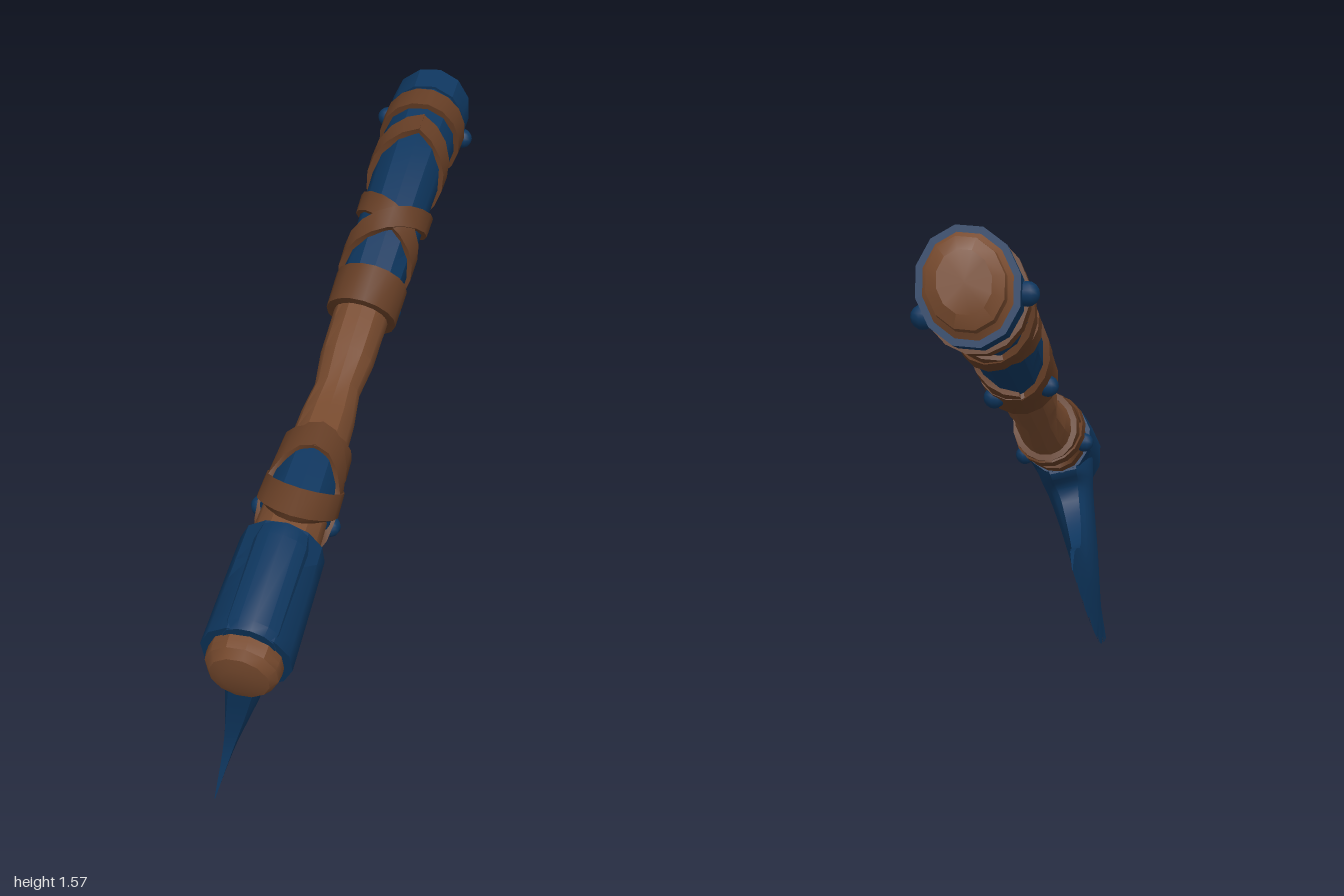
import * as THREE from 'three';
import { toCreasedNormals } from 'three/addons/utils/BufferGeometryUtils.js';

const V = (x, y, z) => new THREE.Vector3(x, y, z);

// The axe lies in one leaning plane: local x is the offset from it, y and z run along it.
const lean = new THREE.Matrix4()
  .makeBasis(V(1, -0.228, 0.039).normalize(), V(0.228, 1, 0), V(-0.039, 0, 1))
  .setPosition(-0.23, 0, 0);

// Handle stations: z, y, half width, half height
const stations = [
  [0.93, 0.63, 0.1, 0.115], [0.6, 0.765, 0.093, 0.1], [0.3, 0.855, 0.083, 0.093],
  [0.17, 0.9, 0.078, 0.085], [0, 1.0, 0.078, 0.085], [-0.2, 1.125, 0.082, 0.088],
  [-0.4, 1.245, 0.088, 0.1], [-0.6, 1.345, 0.095, 0.108], [-0.78, 1.39, 0.105, 0.118],
  [-0.93, 1.43, 0.108, 0.125],
];
const axis = new THREE.CatmullRomCurve3(stations.map(([z, y]) => V(0, y, z)));
const radii = new THREE.CatmullRomCurve3(stations.map(([, , a, b]) => V(a, b, 0)));

// Centre, tangent, up direction and radii of the handle at a given z
function frame(z) {
  let lo = 0, hi = 1;
  for (let i = 0; i < 24; i++) {
    const m = (lo + hi) / 2;
    if (axis.getPoint(m).z > z) lo = m; else hi = m;
  }
  const tan = axis.getTangent(lo), r = radii.getPoint(lo);
  return { c: axis.getPoint(lo), tan, up: V(0, -tan.z, tan.y), a: r.x, b: r.y };
}

// Point on the handle skin, grown outward, scaled and slid along the axis
function skin(z, th, grow = 0, scale = 1, slide = 0) {
  const f = frame(z);
  const p = f.c.clone().addScaledVector(f.up, Math.sin(th) * (f.b + grow) * scale);
  p.x += Math.cos(th) * (f.a + grow) * scale;
  return p.addScaledVector(f.tan, slide);
}

// Join equal-length loops into a solid, with fan caps at the ends
function loft(rings, caps = true, crease = 0.5) {
  const n = rings[0].length, pts = rings.flat(), idx = [];
  for (let r = 0; r < rings.length - 1; r++) {
    for (let i = 0; i < n; i++) {
      const a = r * n + i, b = r * n + (i + 1) % n;
      idx.push(a, b, a + n, b, b + n, a + n);
    }
  }
  if (caps) {
    [0, rings.length - 1].forEach((r, end) => {
      const mid = rings[r].reduce((s, p) => s.add(p), V(0, 0, 0)).divideScalar(n);
      const c = pts.push(mid) - 1;
      for (let i = 0; i < n; i++) {
        const a = r * n + i, b = r * n + (i + 1) % n;
        if (end) idx.push(c, a, b); else idx.push(c, b, a);
      }
    });
  }
  // Turn all faces outward
  let vol = 0;
  for (let i = 0; i < idx.length; i += 3) {
    vol += pts[idx[i]].dot(pts[idx[i + 1]].clone().cross(pts[idx[i + 2]]));
  }
  if (vol < 0) idx.reverse();
  const g = new THREE.BufferGeometry().setFromPoints(pts);
  g.setIndex(idx);
  g.applyMatrix4(lean);
  return toCreasedNormals(g, crease);
}

const SIDES = 12;
const loop = (fn) => Array.from({ length: SIDES }, (_, i) => fn((i / SIDES) * Math.PI * 2));

// Sleeve following the handle between two z positions
function sleeve(z0, z1, grow, steps = 6) {
  const rings = [];
  for (let i = 0; i <= steps; i++) {
    const z = z0 + ((z1 - z0) * i) / steps;
    rings.push(loop((t) => skin(z, t, grow)));
  }
  return rings;
}

// Flat leather band wound from angle t0 to t1; zOf gives its centre along the handle
function strap(zOf, t0, t1, width, inner, outer) {
  const rings = [], steps = Math.ceil(Math.abs(t1 - t0) / 0.4);
  for (let i = 0; i <= steps; i++) {
    const k = i / steps, th = t0 + (t1 - t0) * k, z = zOf(th, k), w = width / 2;
    rings.push([
      skin(z + w, th, inner), skin(z + w, th, outer),
      skin(z - w, th, outer), skin(z - w, th, inner),
    ]);
  }
  return loft(rings);
}

// Blade: a patch between four boundary curves, tapering to the cutting edge
function blade() {
  const curve = (p) => new THREE.CatmullRomCurve3(p.map(([z, y]) => V(0, y, z)));
  const neck = curve([[0.875, 0.6], [0.74, 0.66], [0.6, 0.71]]);
  const front = curve([[0.875, 0.6], [0.845, 0.51], [0.785, 0.32], [0.757, 0.17], [0.775, 0]]);
  const back = curve([[0.6, 0.71], [0.572, 0.64], [0.604, 0.595], [0.598, 0.545],
    [0.515, 0.475], [0.406, 0.437], [0.246, 0.472], [0.07, 0.457]]);
  const edge = curve([[0.775, 0], [0.647, 0.03], [0.444, 0.1], [0.246, 0.243], [0.139, 0.36], [0.07, 0.457]]);
  const N = 36, ROWS = 16, nicks = { 4: 0.018, 9: 0.025, 10: 0.012, 15: 0.02, 20: 0.015, 21: 0.024, 26: 0.02, 31: 0.016 };
  const rings = [];
  for (let r = 0; r <= ROWS; r++) {
    const t = r / ROWS, one = [], two = [];
    for (let i = 0; i <= N; i++) {
      const u = i / N, p = V(0, 0, 0);
      p.addScaledVector(neck.getPoint(u), 1 - t).addScaledVector(edge.getPoint(u), t);
      p.addScaledVector(front.getPoint(t), 1 - u).addScaledVector(back.getPoint(t), u);
      p.addScaledVector(neck.getPoint(0), -(1 - u) * (1 - t)).addScaledVector(neck.getPoint(1), -u * (1 - t));
      p.addScaledVector(edge.getPoint(0), -(1 - u) * t).addScaledVector(edge.getPoint(1), -u * t);
      if (r === ROWS && nicks[i]) p.add(V(0, nicks[i], nicks[i] * 0.6));
      const h = 0.001 + 0.1 * (1 - t) * (0.5 + 0.5 * Math.sin(Math.PI * u));
      one.push(p.clone().setX(h));
      two.unshift(p.clone().setX(-h));
    }
    rings.push([...one, ...two]);
  }
  return loft(rings, false, 0.6);
}

export function createModel() {
  const wood = new THREE.MeshStandardMaterial({ color: 0x774a2e });
  wood.name = 'wood';
  const leather = new THREE.MeshStandardMaterial({ color: 0x633c24 });
  leather.name = 'leather';
  const blue = new THREE.MeshStandardMaterial({ color: 0x0e365e });
  blue.name = 'blueSteel';

  const model = new THREE.Group();
  model.name = 'axe';
  const add = (name, geo, mat, parent = model) => {
    const m = new THREE.Mesh(geo, mat);
    m.name = name;
    parent.add(m);
    return m;
  };
  const group = (name) => {
    const g = new THREE.Group();
    g.name = name;
    model.add(g);
    return g;
  };

  // Handle with a domed front end and a rounded pommel
  const end = (z, list) => list.map(([s, d]) => loop((t) => skin(z, t, 0, s, d)));
  add('handle', loft([
    ...end(0.93, [[0.45, -0.052], [0.8, -0.042], [0.97, -0.02]]),
    ...sleeve(0.93, -0.93, 0, 22),
    ...end(-0.93, [[0.88, 0.012], [0.86, 0.045], [0.6, 0.062]]),
  ]), wood);

  // Head: socket round the handle, roll along its top, and the blade
  const head = group('head');
  add('socket', loft(sleeve(0.912, 0.612, 0.022)), blue, head);
  const roll = [];
  for (const [z, s] of [[0.915, 0.92], [0.89, 1], [0.66, 1], [0.625, 0.9]]) {
    const f = frame(z);
    roll.push(loop((t) => f.c.clone()
      .addScaledVector(f.up, 0.085 + Math.sin(t) * 0.062 * s)
      .setX(Math.cos(t) * 0.075 * s)));
  }
  add('socketTopRoll', loft(roll), blue, head);
  add('blade', blade(), blue, head);

  // Cloth under the straps
  add('gripCloth', loft(sleeve(-0.19, -0.925, 0.009, 12)), blue);
  add('pommelCuff', loft(sleeve(-0.845, -0.93, 0.017, 2)), blue);
  add('collarCloth', loft(sleeve(0.5, 0.34, 0.008, 3)), blue);

  // Grip straps: two opposed spirals between two rings
  const straps = group('straps');
  const T = Math.PI;
  const spiral = (z0, z1) => (th, k) => z0 + (z1 - z0) * k;
  const tilted = (z, tilt) => (th) => z + tilt * Math.sin(th);
  add('gripSpiral', strap(spiral(-0.22, -0.66), -T / 2, 2.5 * T, 0.06, 0, 0.022), leather, straps);
  add('gripCounterSpiral', strap(spiral(-0.2, -0.66), 1.5 * T, -1.5 * T, 0.06, 0, 0.026), leather, straps);
  add('gripFrontRing', strap(tilted(-0.175, 0.01), 0, 2 * T, 0.1, 0, 0.024), leather, straps);
  add('gripRearRing', strap(tilted(-0.785, 0.005), 0, 2 * T, 0.08, 0, 0.024), leather, straps);

  // Collar straps behind the head
  add('collarRing', strap(tilted(0.31, 0.01), 0, 2 * T, 0.07, 0, 0.018), leather, straps);
  add('collarCrossA', strap(tilted(0.43, 0.12), 0, 2 * T, 0.085, 0, 0.024), leather, straps);
  add('collarCrossB', strap(tilted(0.43, -0.12), 0, 2 * T, 0.085, 0, 0.02), leather, straps);

  // Paired rivets on both sides
  const rivets = group('rivets');
  for (const [z, th] of [[0.46, -0.5], [-0.2, -0.75], [-0.87, -0.25]]) {
    for (const side of [th, T - th]) {
      const m = add('rivet', new THREE.SphereGeometry(0.03, 10, 8), blue, rivets);
      m.position.copy(skin(z, side, 0.022).applyMatrix4(lean));
    }
  }
  return model;
}
